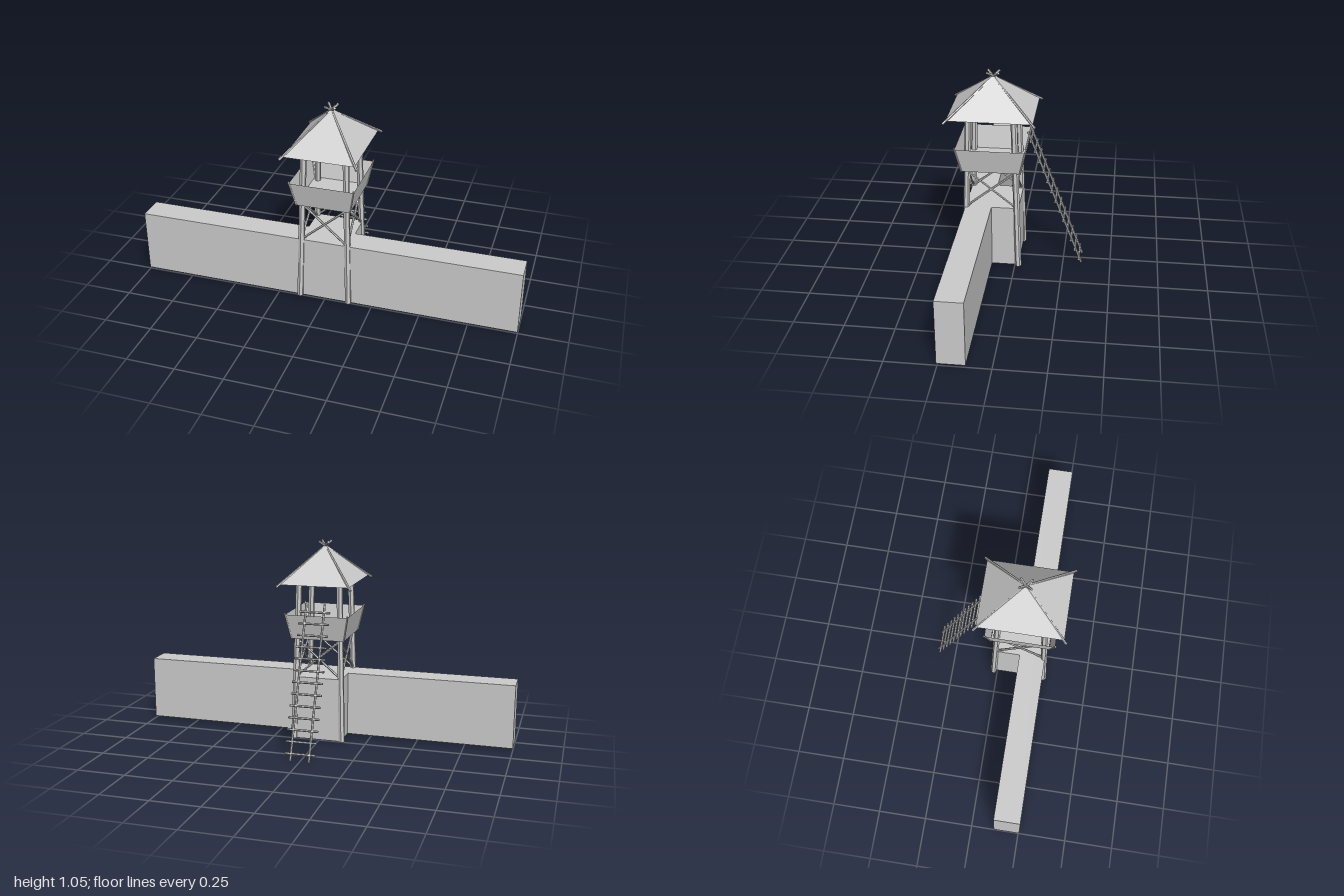
import * as THREE from 'three';

const CZ = 0.12; // tower centre along z

export function createModel() {
  const model = new THREE.Group();
  const mat = new THREE.MeshStandardMaterial({ color: 0xcccccc, flatShading: true });
  const thin = new THREE.MeshStandardMaterial({ color: 0xcccccc, flatShading: true, side: THREE.DoubleSide });
  const V = (x, y, z) => new THREE.Vector3(x, y, z);

  const add = (parent, name, geo, x = 0, y = 0, z = 0, m = mat) => {
    const mesh = new THREE.Mesh(geo, m);
    mesh.name = name;
    mesh.position.set(x, y, z);
    parent.add(mesh);
    return mesh;
  };
  const group = (name, z = 0) => {
    const g = new THREE.Group();
    g.name = name;
    g.position.z = z;
    model.add(g);
    return g;
  };
  // Round timber between two points
  const pole = (parent, name, a, b, r, sides = 6) => {
    const dir = b.clone().sub(a);
    const mid = a.clone().add(b).multiplyScalar(0.5);
    const mesh = add(parent, name, new THREE.CylinderGeometry(r, r, dir.length(), sides), mid.x, mid.y, mid.z);
    mesh.quaternion.setFromUnitVectors(V(0, 1, 0), dir.normalize());
    return mesh;
  };
  // Four-sided frustum with rectangular plan
  const frustum = (top, bottom, h, xRatio, open) => {
    const s = Math.SQRT2;
    return new THREE.CylinderGeometry(top * s, bottom * s, h, 4, 1, open).rotateY(Math.PI / 4).scale(xRatio, 1, 1);
  };

  // Long wall and the block behind it under the tower
  add(model, 'wall', new THREE.BoxGeometry(2, 0.335, 0.135), 0, 0.1775, 0.1875);
  add(model, 'wallPlatform', new THREE.BoxGeometry(0.25, 0.335, 0.14), 0, 0.1775, 0.05);

  // Leaning corner posts
  const posts = group('posts', CZ);
  const corners = [[1, 1], [1, -1], [-1, -1], [-1, 1]];
  const postAt = (sx, sz, y) => {
    const t = (y - 0.01) / 0.83;
    return V(sx * (0.13 - 0.023 * t), y, sz * (0.14 - 0.026 * t));
  };
  for (const [sx, sz] of corners) {
    pole(posts, 'post', postAt(sx, sz, 0.01), postAt(sx, sz, 0.84), 0.0165);
  }

  // Crossed braces on every side
  const braces = group('braces', CZ);
  corners.forEach((c, i) => {
    const d = corners[(i + 1) % 4];
    pole(braces, 'brace', postAt(...c, 0.345), postAt(...d, 0.545), 0.006);
    pole(braces, 'brace', postAt(...c, 0.545), postAt(...d, 0.345), 0.006);
  });

  // Flared lookout basket with floor and corner stakes
  const basket = group('lookoutBasket', CZ);
  add(basket, 'parapet', frustum(0.178, 0.15, 0.13, 0.93, true), 0, 0.615, 0, thin);
  add(basket, 'floor', new THREE.BoxGeometry(0.278, 0.008, 0.298), 0, 0.554, 0);
  for (const [sx, sz] of corners) {
    pole(basket, 'cornerStake', V(sx * 0.139, 0.55, sz * 0.149), V(sx * 0.166, 0.688, sz * 0.179), 0.005);
  }

  // Pyramid roof with hip poles crossing above the peak
  const roof = group('roof', CZ);
  add(roof, 'roofPyramid', frustum(0, 0.216, 0.185, 0.83, false), 0, 0.9325, 0);
  for (const [sx, sz] of corners) {
    pole(roof, 'hipPole', V(sx * 0.193, 0.829, sz * 0.228), V(-sx * 0.025, 1.042, -sz * 0.03), 0.0065);
  }

  // Leaning ladder at the back
  const ladder = group('ladder');
  const foot = V(0, 0.002, -0.347), head = V(0, 0.745, -0.06);
  for (const s of [-1, 1]) {
    const x = V(s * 0.048, 0, 0);
    pole(ladder, 'ladderRail', foot.clone().add(x), head.clone().add(x), 0.006);
  }
  const rungs = 13;
  for (let i = 0; i < rungs; i++) {
    const p = foot.clone().lerp(head, 0.045 + (0.9 * i) / (rungs - 1));
    pole(ladder, 'rung', V(-0.08, p.y, p.z), V(0.08, p.y, p.z), 0.006);
  }
  return model;
}
